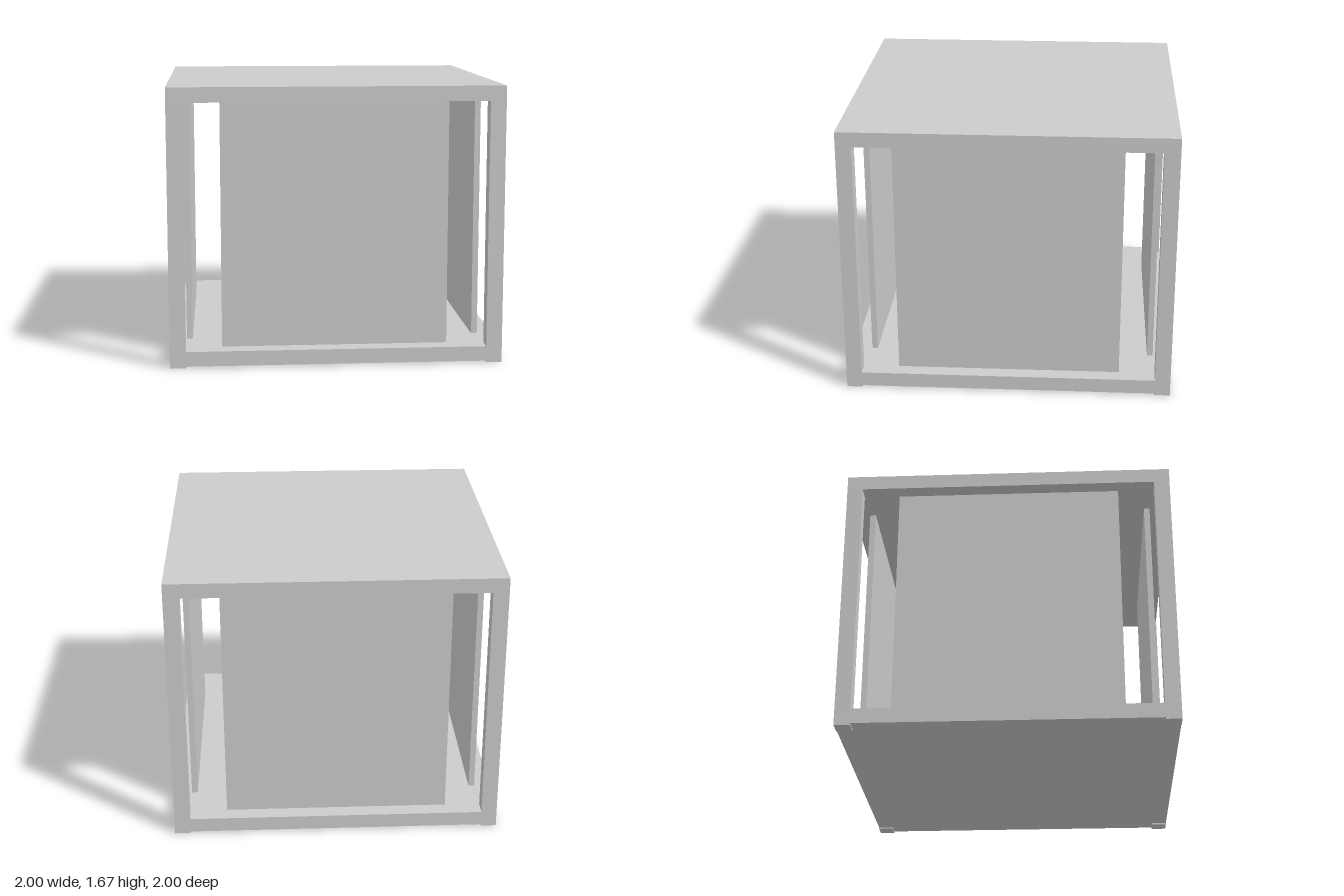
import * as THREE from 'three';

const material = new THREE.MeshStandardMaterial({ color: 0xcccccc, flatShading: true });

// Box given by its [min, max] extent on each axis
function box(name, [x0, x1], [y0, y1], [z0, z1]) {
  const mesh = new THREE.Mesh(new THREE.BoxGeometry(x1 - x0, y1 - y0, z1 - z0), material);
  mesh.position.set((x0 + x1) / 2, (y0 + y1) / 2, (z0 + z1) / 2);
  mesh.name = name;
  return mesh;
}

export function createModel() {
  const model = new THREE.Group();
  model.name = 'panelledCube';

  const full = [-1, 1];
  const post = 0.095;          // square post width
  const opening = [0.1, 1.585]; // height between the slabs

  // Floor and roof slabs
  model.add(box('floorSlab', full, [0.01, opening[0]], full));
  model.add(box('roofSlab', full, [opening[1], 1.675], full));

  // Corner posts, each ending in a thin foot below the floor
  for (const sx of [-1, 1]) {
    for (const sz of [-1, 1]) {
      const x = sx < 0 ? [-1, -1 + post] : [1 - post, 1];
      const z = sz < 0 ? [-1, -1 + post] : [1 - post, 1];
      model.add(box('cornerPost', x, opening, z));
      model.add(box('foot', x, [0, 0.01], z));
    }
  }

  // Wall panels, set back from the frame with gaps at the corners
  const span = [-0.685, 0.685];
  model.add(box('frontPanel', [-0.688, 0.678], opening, [0.853, 0.889]));
  model.add(box('backPanel', [-0.688, 0.678], opening, [-0.902, -0.866]));
  model.add(box('leftPanel', [0.869, 0.905], opening, span));
  model.add(box('rightPanel', [-0.904, -0.868], opening, span));

  return model;
}
